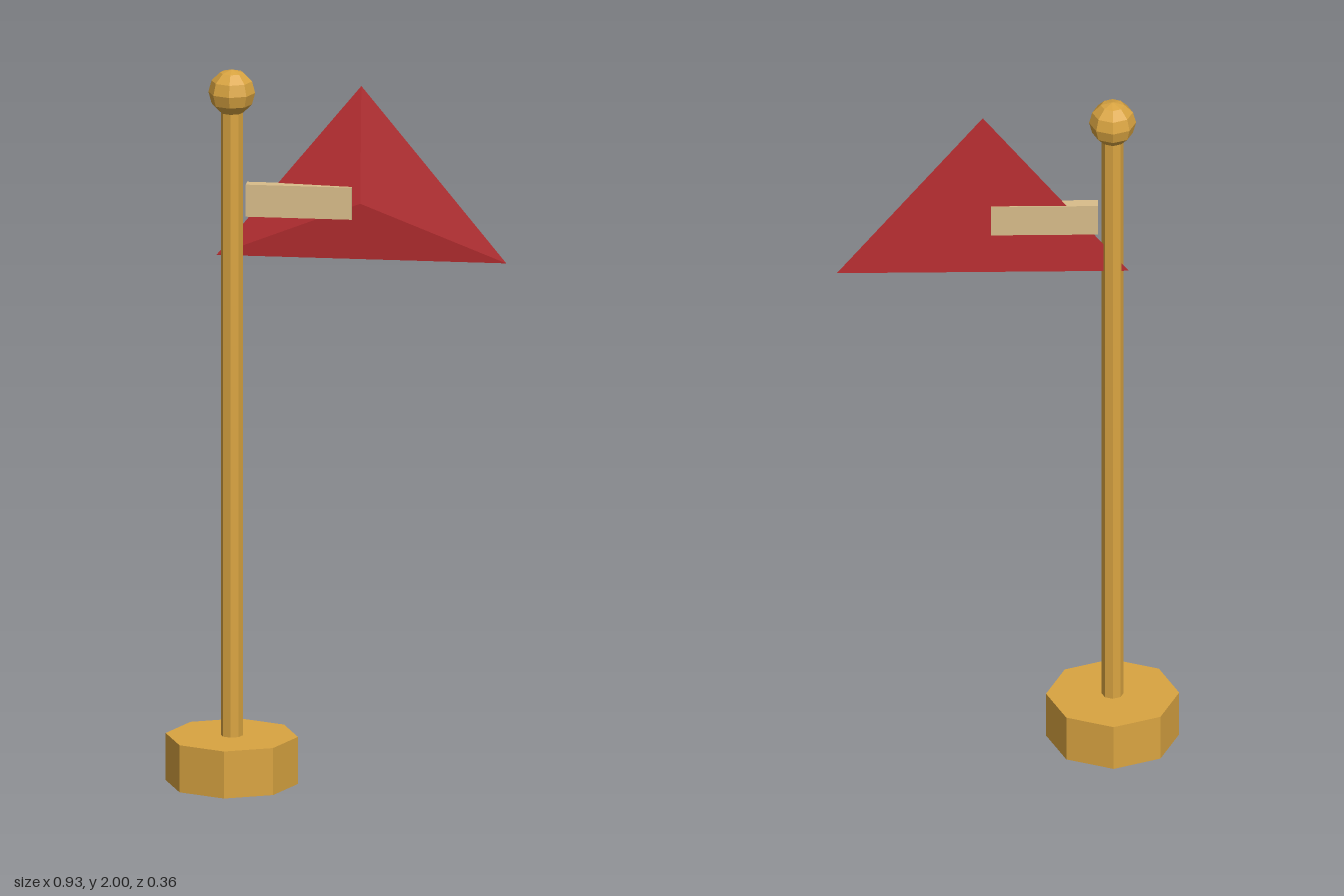
import * as THREE from 'three';

const material = (name, color) => {
  const m = new THREE.MeshStandardMaterial({ color, flatShading: true });
  m.name = name;
  return m;
};

export function createModel() {
  const group = new THREE.Group();
  group.name = 'flagOnPole';
  const gold = material('gold', 0xd9a441);
  const red = material('red', 0xbc2f32);
  const tan = material('tan', 0xd9bd8a);
  const poleX = -0.285;

  const add = (name, geometry, mat, x, y, z = 0) => {
    const mesh = new THREE.Mesh(geometry, mat);
    mesh.name = name;
    mesh.position.set(x, y, z);
    group.add(mesh);
  };

  // Octagonal foot, slim pole and faceted ball on top
  add('base', new THREE.CylinderGeometry(0.181, 0.181, 0.132, 8), gold, poleX, 0.066);
  add('pole', new THREE.CylinderGeometry(0.03, 0.03, 1.8, 8), gold, poleX, 1.0);
  add('finial', new THREE.SphereGeometry(0.064, 8, 6), gold, poleX, 1.936);

  // Triangular flag: a three-sided cone pressed nearly flat, its tip facing forward
  const flag = new THREE.ConeGeometry(1, 1, 3);
  flag.rotateY(Math.PI).rotateX(Math.PI / 2).scale(0.458, 0.324, 0.026);
  add('flag', flag, red, 0.068, 1.637);

  // Bar that carries the flag, showing on both faces
  add('flagBar', new THREE.BoxGeometry(0.29, 0.09, 0.032), tan, -0.1, 1.637);

  return group;
}
